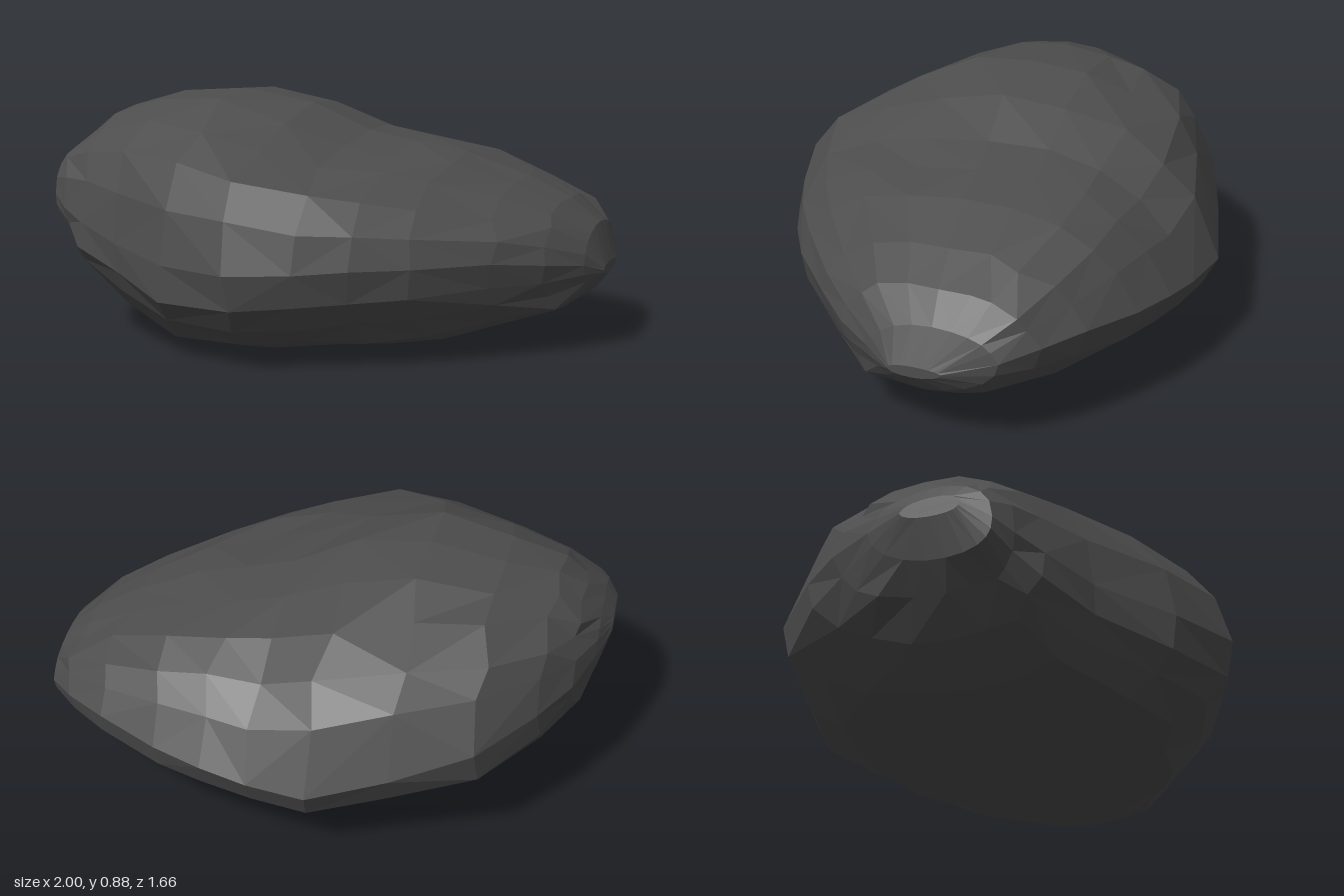
import * as THREE from 'three';

// Cross-sections along x: [x, zBack, zFront, top, bottom, rimBackY, rimFrontY]
const SECTIONS = [
  [-1.0, 0.03, 0.25, 0.6, 0.53, 0.57, 0.56],
  [-0.96, -0.11, 0.35, 0.66, 0.39, 0.55, 0.5],
  [-0.9, -0.28, 0.4, 0.73, 0.3, 0.53, 0.46],
  [-0.8, -0.44, 0.46, 0.8, 0.18, 0.51, 0.42],
  [-0.62, -0.65, 0.55, 0.855, 0.08, 0.47, 0.37],
  [-0.35, -0.75, 0.73, 0.875, 0.015, 0.39, 0.34],
  [-0.08, -0.83, 0.83, 0.835, 0, 0.33, 0.34],
  [0.13, -0.8, 0.74, 0.755, 0, 0.33, 0.34],
  [0.3, -0.77, 0.66, 0.715, 0.01, 0.35, 0.35],
  [0.48, -0.71, 0.55, 0.675, 0.025, 0.36, 0.35],
  [0.7, -0.61, 0.36, 0.59, 0.08, 0.38, 0.35],
  [0.85, -0.51, 0.21, 0.515, 0.13, 0.37, 0.33],
  [0.95, -0.4, 0.06, 0.43, 0.2, 0.34, 0.31],
  [1.0, -0.22, -0.03, 0.3, 0.26, 0.29, 0.28],
];
const SIDES = 20;
const { lerp, smoothstep } = THREE.MathUtils;

// Repeatable noise in -1..1
const noise = (i, j, k) => {
  const s = Math.sin(i * 12.9898 + j * 78.233 + k * 37.719) * 43758.5453;
  return (s - Math.floor(s)) * 2 - 1;
};

// Step down from the left dome to the right shelf, along a diagonal crest
function shelfDrop(x, z) {
  const e = x - 0.03 + 0.9 * Math.max(0, z);
  return 0.035 * smoothstep(e, -0.1, 0.1) * (1 - smoothstep(e, 0.3, 0.6)) * smoothstep(z, -0.2, 0.15);
}

function ringPoint(i, j) {
  const [x, zb, zf, top, bottom, rimB, rimF] = SECTIONS[i];
  const a = (j / SIDES) * Math.PI * 2;
  const c = Math.cos(a), s = Math.sin(a);
  const half = (zf - zb) / 2;
  const rim = lerp(rimB, rimF, (c + 1) / 2);
  const upper = s >= 0;
  const right = smoothstep(x, -0.35, 0.2);
  // Full dome on the left, gentler front slope on the right; the belly sits forward
  const frontPower = upper ? lerp(0.85, 1, right) : lerp(0.82, 0.98, right);
  const backPower = upper ? lerp(0.68, 0.77, right) : 1.0;
  const lift = Math.abs(s) ** (c > 0 ? frontPower : backPower);
  const forward = upper ? 0 : lerp(0.28, 0.16, right) * half * s * s;
  // Ledge along the back, where the upper body is set in from the rim
  const inset = upper && c < 0 ? 1 - 0.08 * smoothstep(s, 0, 0.3) : 1;
  // Chipped irregularity, fading out on the rim, crown and base
  const inner = i > 1 && i < SECTIONS.length - 2 ? 1 : 0;
  const amount = inner * Math.abs(s * c) * 2;
  const px = x + noise(i, j, 1) * 0.03 * amount;
  const z = (zb + zf) / 2 + half * c * inset + forward + noise(i, j, 3) * 0.02 * amount;
  const drop = upper ? inner * s * shelfDrop(px, z) : 0;
  const y = rim + ((upper ? top : bottom) - rim) * lift + noise(i, j, 2) * 0.012 * amount - drop;
  return [px, Math.max(y, 0), z];
}

function rockGeometry() {
  const positions = [], index = [];
  const last = SECTIONS.length - 1;
  const id = (i, j) => i * SIDES + (j % SIDES);
  for (let i = 0; i <= last; i++) {
    for (let j = 0; j < SIDES; j++) positions.push(...ringPoint(i, j));
  }
  // Skin between rings with mixed diagonals
  for (let i = 0; i < last; i++) {
    for (let j = 0; j < SIDES; j++) {
      const a = id(i, j), b = id(i + 1, j), c = id(i + 1, j + 1), d = id(i, j + 1);
      if (noise(i, j, 4) > 0) index.push(a, b, c, a, c, d);
      else index.push(a, b, d, b, c, d);
    }
  }
  // End caps
  for (let j = 1; j < SIDES - 1; j++) {
    index.push(id(0, 0), id(0, j), id(0, j + 1));
    index.push(id(last, 0), id(last, j + 1), id(last, j));
  }
  const geometry = new THREE.BufferGeometry();
  geometry.setAttribute('position', new THREE.Float32BufferAttribute(positions, 3));
  geometry.setIndex(index);
  const faceted = geometry.toNonIndexed();
  faceted.computeVertexNormals();
  return faceted;
}

export function createModel() {
  const group = new THREE.Group();
  group.name = 'boulder';
  const material = new THREE.MeshStandardMaterial({ color: 0x4d4d4d, flatShading: true });
  const rock = new THREE.Mesh(rockGeometry(), material);
  rock.name = 'rock';
  group.add(rock);
  return group;
}
